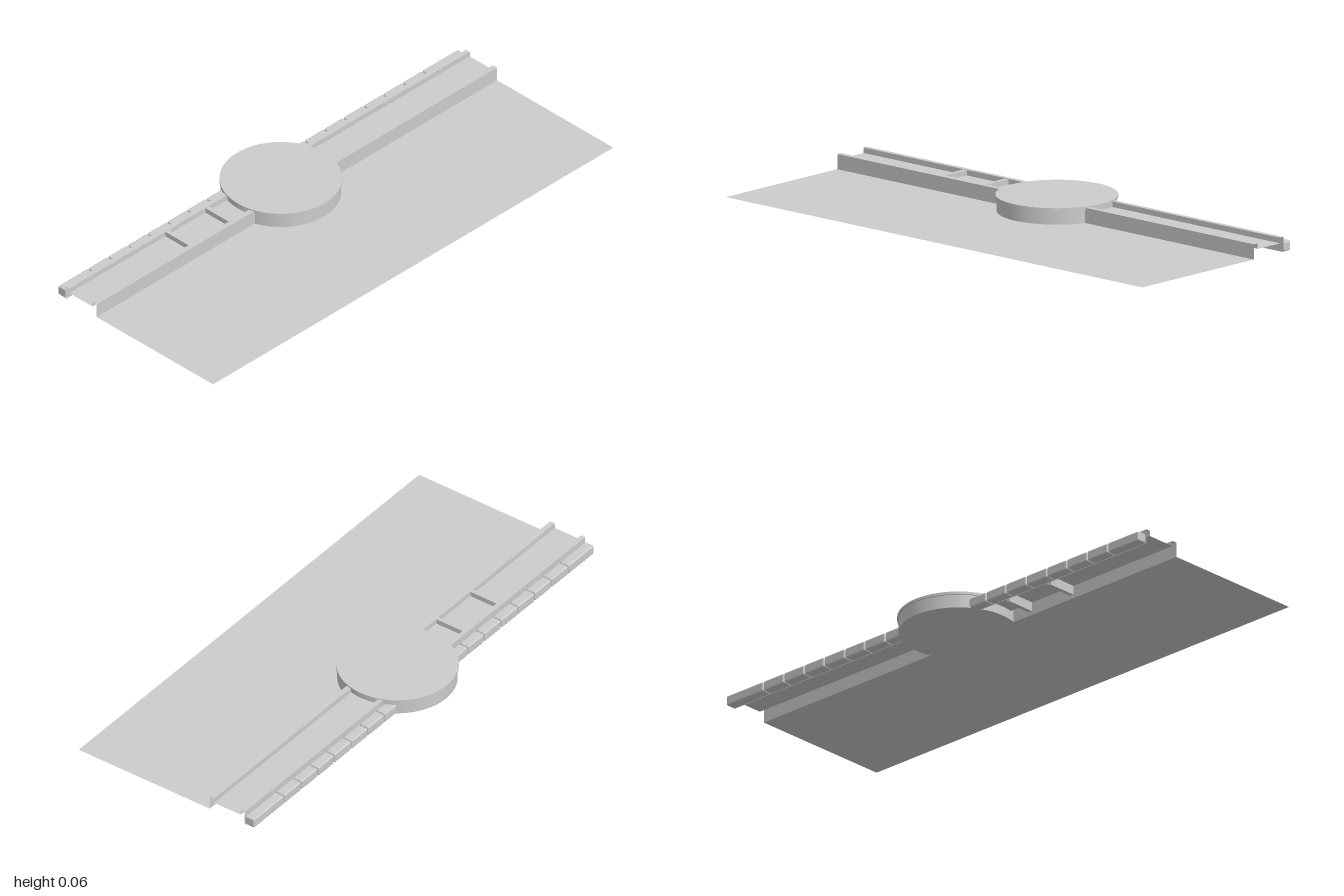
import * as THREE from 'three';
import { RoundedBoxGeometry } from 'three/addons/geometries/RoundedBoxGeometry.js';

export function createModel() {
  const model = new THREE.Group();
  const stone = new THREE.MeshStandardMaterial({ color: 0xcccccc, side: THREE.DoubleSide });
  stone.name = 'light grey stone';

  const add = (name, geometry, x = 0, y = 0, z = 0) => {
    const mesh = new THREE.Mesh(geometry, stone);
    mesh.name = name;
    mesh.position.set(x, y, z);
    model.add(mesh);
    return mesh;
  };

  // Open strip: sweeps a [z, y] profile along x with crisp folds
  const strip = (profile, x0, x1) => {
    const p = [];
    for (let i = 0; i < profile.length - 1; i++) {
      const [za, ya] = profile[i], [zb, yb] = profile[i + 1];
      p.push(x0, ya, za, x1, ya, za, x1, yb, zb, x0, ya, za, x1, yb, zb, x0, yb, zb);
    }
    const g = new THREE.BufferGeometry();
    g.setAttribute('position', new THREE.Float32BufferAttribute(p, 3));
    g.computeVertexNormals();
    return g;
  };

  // Flat ground in front of the walkway
  add('ground', strip([[0.43, 0], [-0.145, 0]], -1, 1));

  // Walkway on both sides of the disc: front curb, raised floor, back rail
  const walkway = [
    [-0.145, 0], [-0.145, 0.055], [-0.165, 0.055], [-0.165, 0.035],
    [-0.28, 0.035], [-0.28, 0.055], [-0.298, 0.055], [-0.298, 0],
  ];
  add('leftWalkway', strip(walkway, 0.18, 1));
  add('rightWalkway', strip(walkway, -1, -0.2));

  // Cross bars that divide the walkway and reach below its floor
  for (const x of [-0.512, -0.312, 0.187]) {
    add('crossBar', new THREE.BoxGeometry(0.016, 0.053, 0.115), x, 0.0275, -0.2225);
  }

  // Row of edging stones along the back
  const edging = (ends) => {
    for (let i = 0; i < ends.length - 1; i++) {
      const length = ends[i + 1] - ends[i] - 0.003;
      add('edgingStone', new RoundedBoxGeometry(length, 0.037, 0.04, 2, 0.006),
        (ends[i] + ends[i + 1]) / 2, 0.0185, -0.318);
    }
  };
  edging([-1, -0.85, -0.75, -0.652, -0.555, -0.455, -0.356, -0.26, -0.17]);
  edging([0.15, 0.23, 0.328, 0.425, 0.525, 0.622, 0.72, 0.82, 1]);

  // Round platform with a slim rim
  add('platformBody', new THREE.CylinderGeometry(0.212, 0.212, 0.05, 64), -0.01, 0.025, -0.214);
  add('platformRim', new THREE.CylinderGeometry(0.216, 0.216, 0.01, 64), -0.01, 0.055, -0.214);

  return model;
}
